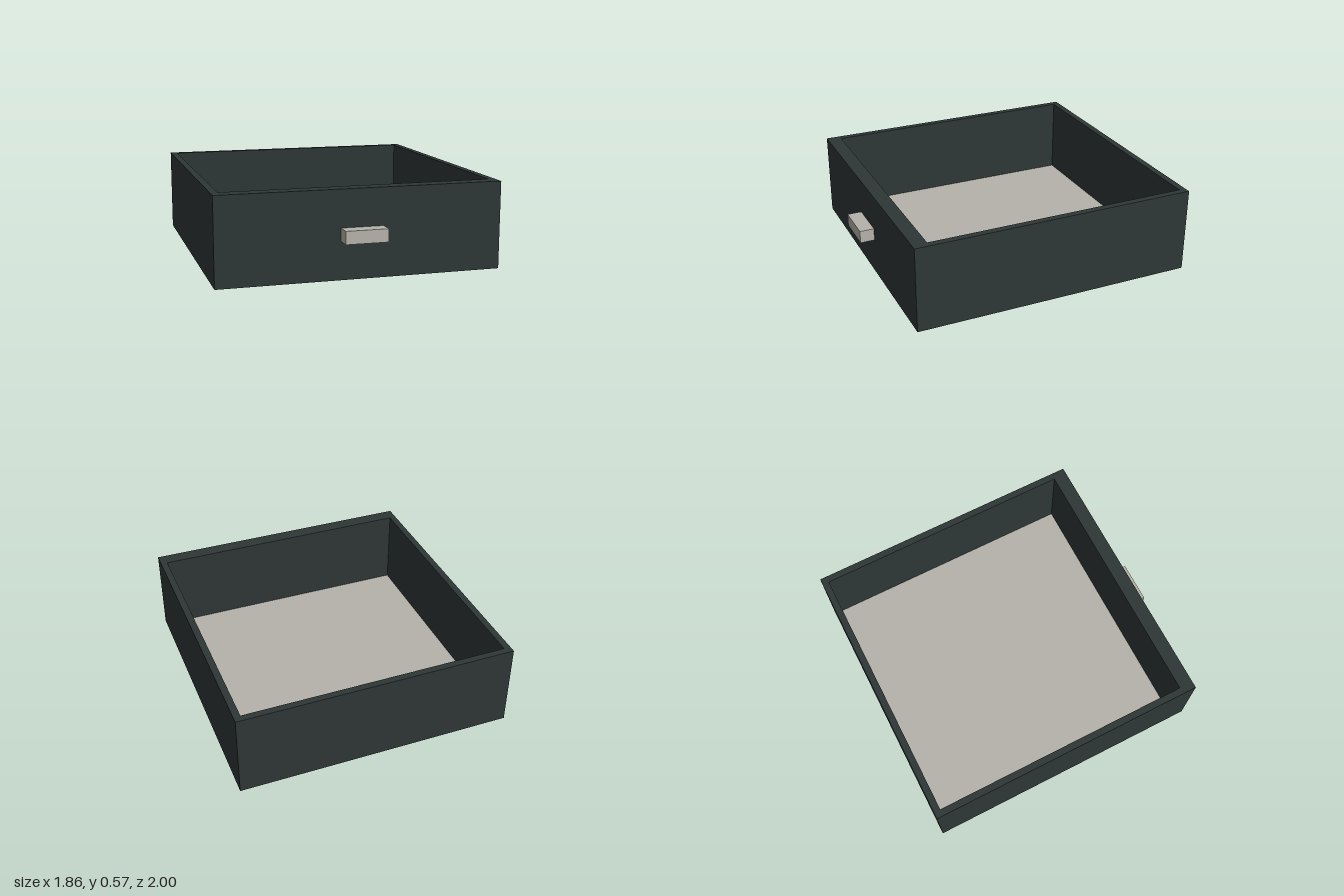
import * as THREE from 'three';

export function createModel() {
  const group = new THREE.Group();
  group.name = 'drawer';

  const dark = new THREE.MeshStandardMaterial({ name: 'dark slate', color: 0x2e3636 });
  const light = new THREE.MeshStandardMaterial({ name: 'warm grey', color: 0xb4b2a9 });

  // Box given by its min and max corners
  function box(name, material, [x0, y0, z0], [x1, y1, z1]) {
    const mesh = new THREE.Mesh(new THREE.BoxGeometry(x1 - x0, y1 - y0, z1 - z0), material);
    mesh.position.set((x0 + x1) / 2, (y0 + y1) / 2, (z0 + z1) / 2);
    mesh.name = name;
    group.add(mesh);
  }

  const W = 0.928, H = 0.573;               // outer half width, height
  const inX = 0.883;                        // inner half width
  const back = -1, front = 0.904;           // outer depth
  const inBack = -0.955, inFront = 0.808;   // inner depth
  const floorY = 0.04;

  // Walls: thick front panel, thin back and sides
  box('frontPanel', dark, [-W, 0, inFront], [W, H, front]);
  box('backPanel', dark, [-W, 0, back], [W, H, inBack]);
  box('leftSide', dark, [inX, 0, inBack], [W, H, inFront]);
  box('rightSide', dark, [-W, 0, inBack], [-inX, H, inFront]);

  // Bottom board with a pale liner on top
  box('bottom', dark, [-inX, 0, inBack], [inX, floorY - 0.006, inFront]);
  box('floorLiner', light, [-inX, floorY - 0.006, inBack], [inX, floorY, inFront]);

  // Pull handle
  box('handle', light, [-0.138, 0.246, front], [0.138, 0.33, 1]);

  return group;
}
